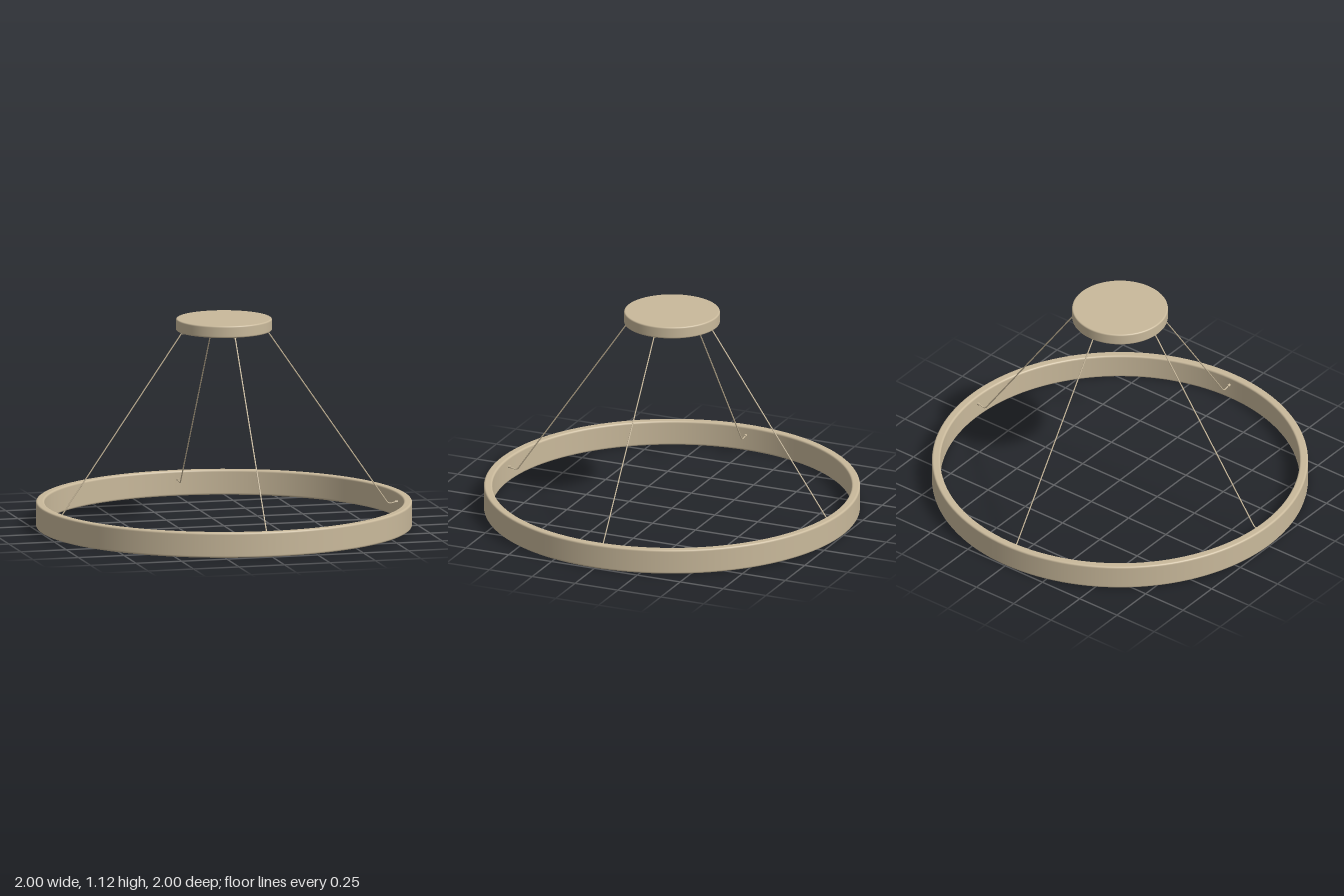
import * as THREE from 'three';

const champagne = new THREE.MeshStandardMaterial({ color: 0xc9b99b });
champagne.name = 'champagne metal';

function addMesh(parent, name, geometry) {
  const mesh = new THREE.Mesh(geometry, champagne);
  mesh.name = name;
  parent.add(mesh);
  return mesh;
}

// Counter-clockwise rounded corner, with a lead-in and lead-out point so the flats shade flat
function corner(cx, cy, r, start) {
  const points = [];
  const lead = r * 0.3;
  const at = (a) => new THREE.Vector2(cx + Math.cos(a) * r, cy + Math.sin(a) * r);
  const tangent = (a) => new THREE.Vector2(-Math.sin(a), Math.cos(a)).multiplyScalar(lead);
  const end = start + Math.PI / 2;
  points.push(at(start).sub(tangent(start)));
  for (let i = 0; i <= 4; i++) points.push(at(start + (i / 4) * (Math.PI / 2)));
  points.push(at(end).add(tangent(end)));
  return points;
}

// Hoop with a rounded rectangular section
function hoopGeometry(inner, outer, bottom, top, r) {
  const profile = [
    ...corner(outer - r, bottom + r, r, -Math.PI / 2),
    ...corner(outer - r, top - r, r, 0),
    ...corner(inner + r, top - r, r, Math.PI / 2),
    ...corner(inner + r, bottom + r, r, Math.PI),
  ];
  profile.push(profile[0].clone());
  return new THREE.LatheGeometry(profile, 128);
}

// Solid disc with rounded rims
function discGeometry(radius, bottom, top, r) {
  const profile = [
    new THREE.Vector2(0, bottom),
    ...corner(radius - r, bottom + r, r, -Math.PI / 2),
    ...corner(radius - r, top - r, r, 0),
    new THREE.Vector2(0, top),
  ];
  return new THREE.LatheGeometry(profile, 96);
}

// One suspension cable running out along +x, with its fittings
function createCable() {
  const cable = new THREE.Group();
  const path = new THREE.CurvePath();
  const v = (x, y) => new THREE.Vector3(x, y, 0);
  path.add(new THREE.LineCurve3(v(0.222, 1.065), v(0.894, 0.093)));
  path.add(new THREE.QuadraticBezierCurve3(v(0.894, 0.093), v(0.905, 0.077), v(0.922, 0.082)));
  path.add(new THREE.LineCurve3(v(0.922, 0.082), v(0.96, 0.09)));
  addMesh(cable, 'cableWire', new THREE.TubeGeometry(path, 160, 0.0035, 8));

  // Small stud on the inner wall of the ring
  const stud = addMesh(cable, 'ringStud', new THREE.CylinderGeometry(0.007, 0.007, 0.02, 16));
  stud.rotation.z = Math.PI / 2;
  stud.position.set(0.949, 0.088, 0);

  // Grip where the cable enters the canopy
  const grip = addMesh(cable, 'canopyGrip', new THREE.CylinderGeometry(0.008, 0.006, 0.014, 16));
  grip.position.set(0.227, 1.051, 0);
  return cable;
}

export function createModel() {
  const model = new THREE.Group();
  model.name = 'ringPendantLamp';

  addMesh(model, 'lightRing', hoopGeometry(0.955, 1, 0, 0.135, 0.009));
  addMesh(model, 'ceilingCanopy', discGeometry(0.255, 1.056, 1.12, 0.007));

  // Centre screw under the canopy
  const screw = addMesh(model, 'centreScrew', new THREE.SphereGeometry(0.012, 20, 12));
  screw.position.y = 1.054;

  // Four cables, a quarter turn apart
  for (let i = 0; i < 4; i++) {
    const cable = createCable();
    cable.name = `cable${i + 1}`;
    cable.rotation.y = (i * Math.PI) / 2;
    model.add(cable);
  }
  return model;
}
